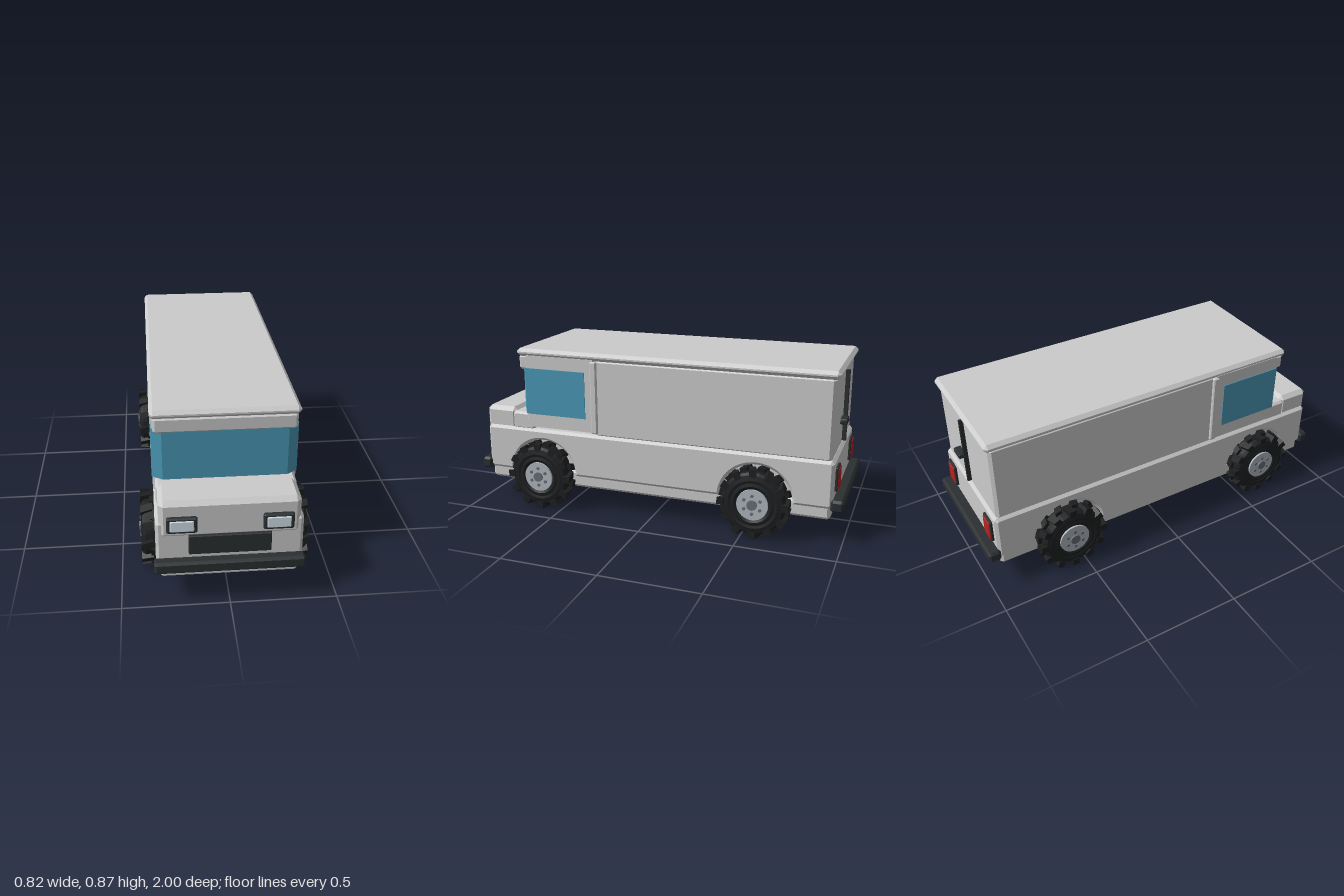
import * as THREE from 'three';
import { ConvexGeometry } from 'three/addons/geometries/ConvexGeometry.js';

const mat = (color) => new THREE.MeshStandardMaterial({ color, flatShading: true });

export function createModel() {
  const model = new THREE.Group();
  const grey = mat(0xcccccc), dark = mat(0x2b2f31), rubber = mat(0x1d1f20);
  const blue = mat(0x4a98b6), lens = mat(0xd3e0ea), red = mat(0xb5221f);
  const metal = mat(0xadb5bd), hubGrey = mat(0x666e76);

  const add = (name, geometry, material, parent = model) => {
    const mesh = new THREE.Mesh(geometry, material);
    mesh.name = name;
    parent.add(mesh);
    return mesh;
  };

  // Box between two corners with every edge chamfered by c
  const block = (name, [x0, x1], [y0, y1], [z0, z1], c, material, parent) => {
    const h = [(x1 - x0) / 2, (y1 - y0) / 2, (z1 - z0) / 2];
    const points = [];
    for (const sx of [-1, 1]) for (const sy of [-1, 1]) for (const sz of [-1, 1])
      for (let face = 0; face < 3; face++) {
        const p = h.map((v, axis) => (axis === face ? v : v - c));
        points.push(new THREE.Vector3(p[0] * sx, p[1] * sy, p[2] * sz));
      }
    const mesh = add(name, new ConvexGeometry(points), material, parent);
    mesh.position.set((x0 + x1) / 2, (y0 + y1) / 2, (z0 + z1) / 2);
    return mesh;
  };

  // Upright prism of the cab plan, with its two front corners cut off
  const cabPrism = (name, w, y0, y1, back, front, material) => {
    const plan = [[-w, back], [-w, front - 0.035], [-w + 0.05, front],
      [w - 0.05, front], [w, front - 0.035], [w, back]];
    const shape = new THREE.Shape(plan.map(([x, z]) => new THREE.Vector2(x, -z)));
    const g = new THREE.ExtrudeGeometry(shape, { depth: y1 - y0, bevelEnabled: false });
    g.rotateX(-Math.PI / 2).translate(0, y0, 0);
    return add(name, g, material);
  };

  // Lower body: side profile with two wheel arches, bevelled along the sides
  const axleY = 0.185, axles = [0.617, -0.564], arch = 0.185, bevel = 0.015;
  const side = new THREE.Shape();
  side.moveTo(-0.93, axleY);
  for (const z of [axles[1], axles[0]]) {
    side.lineTo(z - arch, axleY);
    side.absarc(z, axleY, arch, Math.PI, 0, true);
  }
  for (const [z, y] of [[0.94, axleY], [0.955, 0.2], [0.955, 0.415], [0.94, 0.43],
    [-0.93, 0.43], [-0.945, 0.415], [-0.945, 0.2]]) side.lineTo(z, y);
  const lower = new THREE.ExtrudeGeometry(side, {
    depth: 0.67 - 2 * bevel, curveSegments: 20, bevelSegments: 1,
    bevelThickness: bevel, bevelSize: bevel, bevelOffset: -bevel,
  });
  lower.translate(0, 0, -0.335 + bevel).rotateY(-Math.PI / 2);
  add('lowerBody', lower, grey);
  block('archInnerWall', [-0.295, 0.295], [0.19, 0.42], [-0.9, 0.9], 0.005, grey);
  block('skirt', [-0.32, 0.32], [0.122, 0.215], [-0.935, 0.95], 0.015, grey);

  // Cargo box, cab and roof
  block('cargoBox', [-0.326, 0.326], [0.42, 0.835], [-0.93, 0.31], 0.015, grey);
  cabPrism('cab', 0.336, 0.445, 0.835, 0.31, 0.73, grey);
  cabPrism('cabWindows', 0.34, 0.517, 0.766, 0.357, 0.735, blue);
  block('windshieldHeader', [-0.33, 0.33], [0.755, 0.835], [0.66, 0.742], 0.012, grey);
  for (const s of [-1, 1])
    block('doorPillar', [s * 0.33 - 0.012, s * 0.33 + 0.012], [0.44, 0.825], [0.29, 0.325], 0.005, grey);
  block('roof', [-0.343, 0.343], [0.828, 0.87], [-0.95, 0.75], 0.017, grey);

  // Hood
  block('cowl', [-0.325, 0.325], [0.42, 0.517], [0.67, 0.8], 0.012, grey);
  block('hood', [-0.319, 0.319], [0.345, 0.535], [0.78, 0.965], 0.022, grey);

  // Front and rear fittings
  block('grille', [-0.187, 0.187], [0.263, 0.362], [0.94, 0.975], 0.004, dark);
  block('frontBumper', [-0.345, 0.345], [0.175, 0.237], [0.942, 1], 0.012, dark);
  block('rearBumper', [-0.345, 0.345], [0.175, 0.237], [-1, -0.935], 0.012, dark);
  for (const s of [-1, 1]) {
    const span = (c, w) => [s * c - w / 2, s * c + w / 2];
    block('headlightFrame', span(0.216, 0.138), [0.383, 0.463], [0.94, 0.984], 0.007, dark);
    block('headlightLens', span(0.216, 0.112), [0.393, 0.453], [0.95, 0.988], 0.006, lens);
    block('tailLightFrame', span(0.245, 0.092), [0.265, 0.387], [-0.958, -0.93], 0.004, dark);
    block('tailLightLens', span(0.245, 0.076), [0.274, 0.378], [-0.963, -0.93], 0.004, red);
  }
  block('rearDoorSeam', [-0.006, 0.006], [0.44, 0.812], [-0.952, -0.925], 0.002, dark);
  block('rearDoorHandle', [0.035, 0.115], [0.555, 0.583], [-0.966, -0.925], 0.006, dark);

  // Wheel along +x, outer side at +x
  const makeWheel = () => {
    const wheel = new THREE.Group();
    const profile = [[0.07, -0.04], [0.12, -0.05], [0.152, -0.044], [0.163, -0.03],
      [0.163, 0.03], [0.152, 0.044], [0.125, 0.05], [0.112, 0.046], [0.095, 0.05], [0.078, 0.04]];
    const tyre = new THREE.LatheGeometry(profile.map(([r, x]) => new THREE.Vector2(r, x)), 36);
    add('tyre', tyre.rotateZ(-Math.PI / 2), rubber, wheel).material.side = THREE.DoubleSide;

    // Two staggered rows of slanted tread lugs
    for (const row of [-1, 1]) for (let i = 0; i < 12; i++) {
      const holder = new THREE.Group();
      holder.name = 'treadLug';
      holder.rotation.x = ((i + (row < 0 ? 0.5 : 0)) / 12) * Math.PI * 2;
      const lug = new THREE.BoxGeometry(0.056, 0.038, 0.036);
      const p = lug.attributes.position;
      for (let k = 0; k < p.count; k++)
        if (p.getX(k) * row < 0) p.setZ(k, p.getZ(k) + 0.016);
      lug.translate(row * 0.022, 0.163, 0);
      add('lug', lug, rubber, holder);
      wheel.add(holder);
    }

    // Rim, hub and bolts
    const disc = (name, r, x0, x1, n, material) => {
      const g = new THREE.CylinderGeometry(r, r, x1 - x0, n);
      return add(name, g.rotateZ(-Math.PI / 2).translate((x0 + x1) / 2, 0, 0), material, wheel);
    };
    disc('rim', 0.08, -0.045, 0.051, 28, metal);
    disc('hub', 0.026, 0.04, 0.06, 12, hubGrey);
    for (let i = 0; i < 6; i++) {
      const a = (i / 6) * Math.PI * 2;
      disc('bolt', 0.009, 0.045, 0.056, 6, hubGrey).position.set(0, Math.cos(a) * 0.047, Math.sin(a) * 0.047);
    }
    return wheel;
  };

  for (const s of [-1, 1]) axles.forEach((z, i) => {
    const wheel = makeWheel();
    wheel.name = (i ? 'rear' : 'front') + (s > 0 ? 'Left' : 'Right') + 'Wheel';
    wheel.position.set(s * 0.35, axleY, z);
    if (s < 0) wheel.rotation.y = Math.PI;
    model.add(wheel);
  });
  return model;
}
